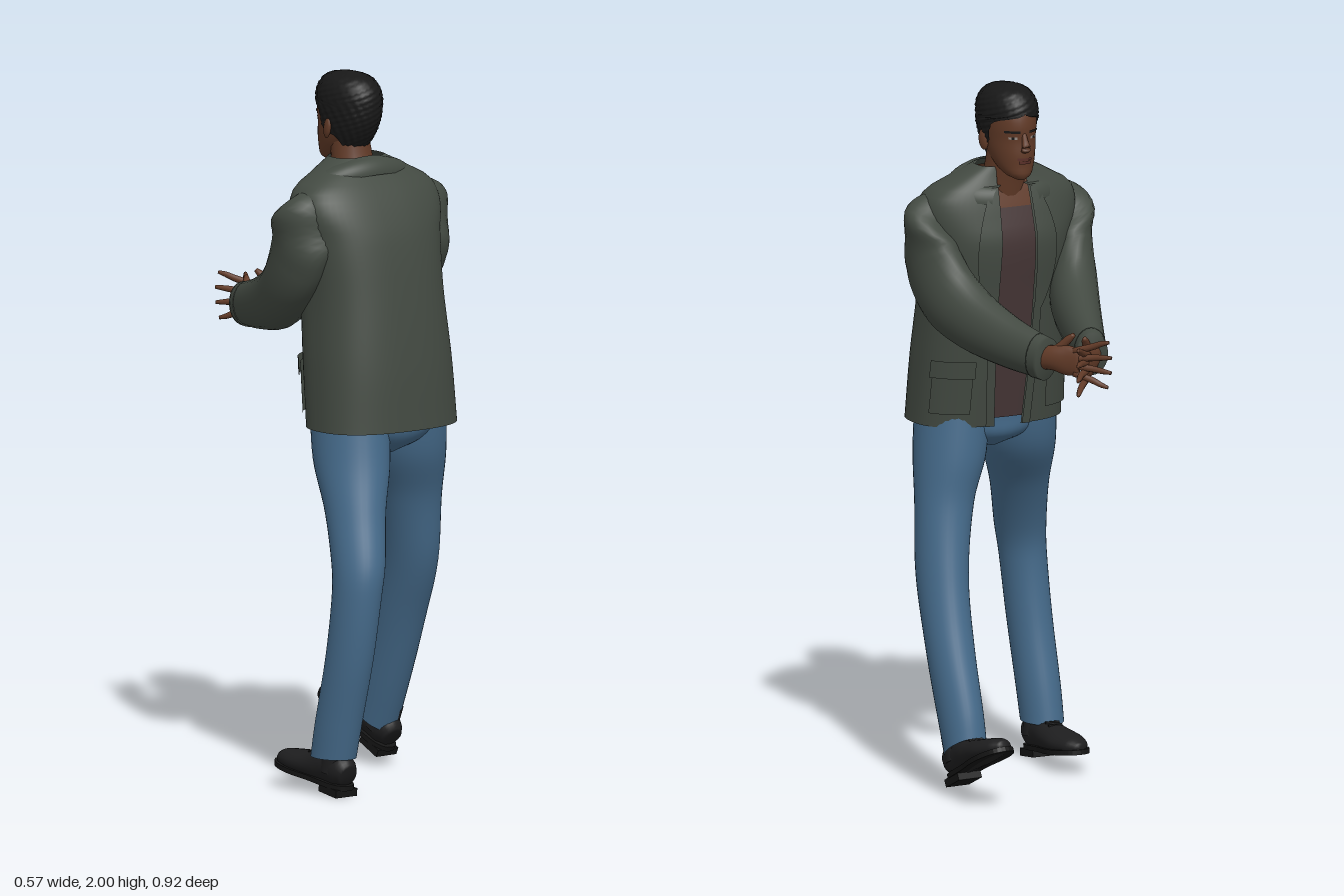
import * as THREE from 'three';
import { mergeVertices } from 'three/addons/utils/BufferGeometryUtils.js';

const mat = (name, color, side = THREE.FrontSide) => {
  const m = new THREE.MeshStandardMaterial({ color, side });
  m.name = name;
  return m;
};

// Smooth surface from f(u, v) -> Vector3 on a rows x cols grid
function grid(f, rows, cols) {
  const pos = [], idx = [];
  for (let i = 0; i <= rows; i++)
    for (let j = 0; j <= cols; j++) pos.push(...f(i / rows, j / cols).toArray());
  for (let i = 0; i < rows; i++)
    for (let j = 0; j < cols; j++) {
      const a = i * (cols + 1) + j, b = a + cols + 1;
      idx.push(a, b, a + 1, b, b + 1, a + 1);
    }
  let g = new THREE.BufferGeometry();
  g.setAttribute('position', new THREE.Float32BufferAttribute(pos, 3));
  g.setIndex(idx);
  g = mergeVertices(g, 1e-5);
  g.computeVertexNormals();
  return g;
}

// Smooth interpolation of rows whose first entry is the key
function sample(rings, y) {
  let i = 0;
  while (i < rings.length - 2 && y > rings[i + 1][0]) i++;
  const A = rings[i], B = rings[i + 1], h = B[0] - A[0], t = (y - A[0]) / h;
  const P = rings[i - 1] || A, N = rings[i + 2] || B;
  return A.map((a, k) => {
    const m0 = (B[k] - P[k]) / (B[0] - P[0]) * h, m1 = (N[k] - a) / (N[0] - A[0]) * h;
    const t2 = t * t, t3 = t2 * t;
    return (2 * t3 - 3 * t2 + 1) * a + (t3 - 2 * t2 + t) * m0 + (3 * t2 - 2 * t3) * B[k] + (t3 - t2) * m1;
  });
}

// Patch of a body of horizontal sections [y, centreX, halfWidth, zFront, zBack];
// the angle runs from the chest (-z) towards +x
function patch(rings, y0, y1, th0, th1, { off = 0, p = 1, rows = 24, cols = 36, warp } = {}) {
  const val = (q, ...a) => (typeof q === 'function' ? q(...a) : q);
  return grid((u, v) => {
    const y = y0 + (y1 - y0) * u, [, cx, a, zf, zb] = sample(rings, y);
    const t0 = val(th0, y), th = t0 + (val(th1, y) - t0) * v, o = val(off, y, th);
    const s = Math.sin(th), c = Math.cos(th), pw = (w) => Math.sign(w) * Math.abs(w) ** p;
    const P = new THREE.Vector3(cx + (a + o) * pw(s), y, (zf + zb) / 2 - ((zb - zf) / 2 + o) * pw(c));
    if (warp) warp(P, (zf + zb) / 2);
    return P;
  }, rows, cols);
}

// Capped sweep through points [x, y, z, sideRadius, upRadius]
function sweep(pts, rows = 24, cols = 18) {
  const curve = new THREE.CatmullRomCurve3(pts.map((q) => new THREE.Vector3(q[0], q[1], q[2])));
  const keyed = pts.map((q, i) => [i / (pts.length - 1), q[3], q[4]]);
  const up = new THREE.Vector3(0, 1, 0);
  return grid((u, v) => {
    const t = THREE.MathUtils.clamp((u * (rows + 2) - 1) / rows, 0, 1);
    const T = curve.getTangent(t), S = T.clone().cross(up).normalize(), U = S.clone().cross(T);
    const [, rs, ru] = sample(keyed, t), k = u === 0 || u === 1 ? 0 : 1, f = v * Math.PI * 2;
    return curve.getPoint(t).addScaledVector(S, k * rs * Math.cos(f)).addScaledVector(U, k * ru * Math.sin(f));
  }, rows + 2, cols);
}

export function createModel() {
  const D = THREE.DoubleSide, TAU = Math.PI * 2;
  const jacket = mat('jacket cloth', 0x434a42, D), jeans = mat('denim', 0x456a8a, D);
  const skin = mat('skin', 0x613a27, D), hairMat = mat('hair', 0x181818, D);
  const shoeMat = mat('shoe leather', 0x1e1e1f), soleMat = mat('shoe sole', 0x151515);
  const shirtMat = mat('shirt', 0x463636, D), lipMat = mat('lips', 0x5a3029, D), eyeMat = mat('eye', 0x9a8f88, D);
  const model = new THREE.Group();
  const add = (name, geo, m, parent = model) => {
    const mesh = new THREE.Mesh(geo, m);
    mesh.name = name;
    parent.add(mesh);
    return mesh;
  };

  // Torso and open jacket
  const torso = [
    [1.02, 0, 0.222, 0.085, 0.39], [1.2, 0, 0.214, 0.058, 0.378], [1.4, 0, 0.203, 0.03, 0.352],
    [1.55, 0, 0.215, 0.012, 0.322], [1.63, 0, 0.232, 0.028, 0.29], [1.69, 0, 0.215, 0.045, 0.253],
    [1.72, 0, 0.165, 0.055, 0.225], [1.745, 0, 0.12, 0.06, 0.2], [1.765, 0, 0.08, 0.06, 0.18]];
  const P = 0.8;
  const edge = (w) => (y) => {
    const half = typeof w === 'function' ? w(y) : w;
    return Math.asin(Math.min(0.95, half / sample(torso, y)[2]) ** (1 / P));
  };
  const open = (y) => 0.042 + 0.012 * Math.sin((y - 1.02) * 4);
  const g0 = edge(open);
  add('jacketBody', patch(torso, 1.02, 1.765, g0, (y) => TAU - g0(y), { p: P, rows: 36, cols: 56 }), jacket);
  add('shirt', patch(torso, 1.04, 1.65, 0, TAU, { p: P, off: -0.014 }), shirtMat);
  add('upperChest', patch(torso, 1.645, 1.75, 0, TAU, { p: P, off: -0.016 }), skin);
  for (const s of [1, -1]) {
    const side = s > 0 ? 'left' : 'right';
    const strip = (a, b) => (s > 0 ? [a, b] : [(y) => -b(y), (y) => -a(y)]);
    const lapel = edge((y) => open(y) + 0.065 * Math.max(0, Math.sin((y - 1.33) / 0.4 * Math.PI)) ** 0.7);
    add(side + 'Lapel', patch(torso, 1.33, 1.71, ...strip(g0, lapel), { p: P, off: 0.009, cols: 6 }), jacket);
    add(side + 'Placket', patch(torso, 1.02, 1.36, ...strip(g0, edge((y) => open(y) + 0.025)),
      { p: P, off: 0.006, cols: 4 }), jacket);
    const from = () => 0.45, to = () => 1.15;
    add(side + 'Pocket', patch(torso, 1.06, 1.2, ...strip(from, to), { p: P, off: 0.007, cols: 10 }), jacket);
    add(side + 'PocketFlap', patch(torso, 1.165, 1.215, ...strip(() => 0.42, () => 1.18),
      { p: P, off: 0.013, rows: 4, cols: 10 }), jacket);
  }
  // Folded collar
  add('collar', grid((u, v) => {
    const th = 0.45 + (TAU - 0.9) * v, k = Math.sqrt(1 - u * u), c = Math.cos(th);
    const a = 0.08 + 0.088 * k, b = 0.068 + 0.036 * k;
    return new THREE.Vector3(a * Math.sin(th), 1.722 + 0.048 * u - 0.03 * (1 + c), 0.115 + 0.01 * k - b * c);
  }, 8, 40), jacket);

  // Sleeves and hands, mirrored, with fingers interleaved
  for (const s of [1, -1]) {
    const arm = new THREE.Group();
    arm.name = s > 0 ? 'leftArm' : 'rightArm';
    model.add(arm);
    const dy = s * 0.007;
    const limb = (name, pts, m, r, c) =>
      add(name, sweep(pts.map(([x, y, z, a, b]) => [s * x, y, z, a, b ?? a]), r, c), m, arm);
    limb('sleeve', [[0.16, 1.655, 0.165, 0.05, 0.06], [0.2, 1.59, 0.16, 0.07, 0.1], [0.207, 1.5, 0.13, 0.067, 0.108],
      [0.195, 1.42, 0.07, 0.068, 0.103], [0.165, 1.365, -0.01, 0.068, 0.093], [0.12, 1.32, -0.15, 0.056, 0.075],
      [0.073, 1.293, -0.295, 0.042, 0.06]], jacket, 36, 24);
    limb('cuff', [[0.083, 1.297, -0.265, 0.046, 0.065], [0.071, 1.292, -0.302, 0.044, 0.062]], jacket, 4, 24);
    limb('palm', [[0.078, 1.293, -0.28, 0.03, 0.032], [0.058, 1.292 + dy, -0.32, 0.024, 0.036],
      [0.032, 1.289 + dy, -0.355, 0.017, 0.043], [0.012, 1.287 + dy, -0.385, 0.01, 0.037]], skin, 12);
    for (let i = 0; i < 4; i++) {
      const k = 1.5 - i, y = 1.286 + dy + k * 0.021, reach = [0.95, 1.04, 1.03, 0.92][i];
      limb('finger', [[0.022, y, -0.372, 0.01], [-0.018 * reach, y + k * 0.011, -0.41, 0.0095],
        [-0.036 * reach, y + k * 0.018, -0.37 - 0.064 * reach, 0.008],
        [-0.05 * reach, y + k * 0.022, -0.37 - 0.084 * reach, 0.005]], skin, 10, 8);
    }
    limb('thumb', [[0.056, 1.305 + dy, -0.315, 0.016], [0.038, 1.33 + dy, -0.335, 0.013],
      [0.025, 1.35 + dy, -0.35, 0.011], [0.017, 1.362 + dy, -0.362, 0.006]], skin, 10, 10);
  }

  // Jeans
  add('hips', patch([[0.945, 0, 0.03, 0.17, 0.28], [0.98, 0, 0.13, 0.115, 0.335], [1.03, 0, 0.195, 0.105, 0.355],
    [1.15, 0, 0.185, 0.1, 0.34]], 0.945, 1.15, 0, TAU), jeans);
  const lift = (P, zc) => { P.y -= (P.z - zc) * 0.65 * (1 - THREE.MathUtils.smoothstep(P.y, 0.14, 0.5)); };
  add('forwardLeg', patch([[0.14, 0.192, 0.058, -0.1, 0.025], [0.2, 0.192, 0.06, -0.085, 0.05],
    [0.4, 0.19, 0.065, -0.02, 0.14], [0.6, 0.178, 0.07, 0.045, 0.225], [0.8, 0.15, 0.082, 0.088, 0.268],
    [0.93, 0.122, 0.1, 0.088, 0.315], [1.08, 0.105, 0.1, 0.1, 0.34]], 0.14, 1.08, 0, TAU, { rows: 40, warp: lift }), jeans);
  add('rearLeg', patch([[0.11, -0.217, 0.058, 0.228, 0.375], [0.2, -0.215, 0.06, 0.245, 0.395],
    [0.4, -0.208, 0.062, 0.288, 0.44], [0.58, -0.197, 0.065, 0.305, 0.461], [0.66, -0.185, 0.07, 0.29, 0.458],
    [0.8, -0.155, 0.08, 0.225, 0.415], [0.93, -0.122, 0.1, 0.14, 0.38], [1.08, -0.105, 0.1, 0.1, 0.35]],
  0.11, 1.08, 0, TAU, { rows: 40 }), jeans);

  // Shoes, heel at the origin and toe towards -z
  const outline = new THREE.Shape();
  outline.moveTo(0, -0.005);
  outline.bezierCurveTo(0.055, -0.005, 0.036, 0.09, 0.048, 0.15);
  outline.bezierCurveTo(0.068, 0.23, 0.05, 0.312, 0, 0.312);
  outline.bezierCurveTo(-0.05, 0.312, -0.068, 0.23, -0.048, 0.15);
  outline.bezierCurveTo(-0.036, 0.09, -0.055, -0.005, 0, -0.005);
  const shoe = (name, x, y, z, pitch, yaw) => {
    const g = new THREE.Group();
    g.name = name;
    add('upper', sweep([[0, 0.06, -0.003, 0.028, 0.03], [0, 0.068, -0.03, 0.042, 0.048], [0, 0.068, -0.09, 0.043, 0.05],
      [0, 0.056, -0.15, 0.049, 0.04], [0, 0.048, -0.22, 0.054, 0.032], [0, 0.042, -0.28, 0.038, 0.024],
      [0, 0.038, -0.306, 0.014, 0.012]], 24, 20), shoeMat, g);
    add('ankle', new THREE.CylinderGeometry(0.042, 0.046, 0.08, 20), shoeMat, g).position.set(0, 0.1, -0.058);
    const sole = add('sole', new THREE.ExtrudeGeometry(outline, { depth: 0.014, bevelEnabled: false, curveSegments: 12 }), soleMat, g);
    sole.rotation.x = -Math.PI / 2;
    sole.position.y = 0.02;
    add('heel', new THREE.BoxGeometry(0.074, 0.022, 0.08), soleMat, g).position.set(0, 0.011, -0.044);
    for (let i = 0; i < 4; i++)
      add('lace', new THREE.BoxGeometry(0.042, 0.006, 0.006), soleMat, g).position.set(0, 0.114 - i * 0.007, -0.11 - i * 0.017);
    g.position.set(x, y, z);
    g.rotation.set(pitch, yaw, 0, 'YXZ');
    model.add(g);
  };
  shoe('forwardShoe', 0.2, 0.024, 0, 0.45, 0.06);
  shoe('rearShoe', -0.212, 0.001, 0.357, 0.13, 0);

  // Neck and head
  add('neck', sweep([[0, 1.64, 0.135, 0.075, 0.07], [0, 1.72, 0.11, 0.062, 0.06], [0, 1.78, 0.095, 0.056, 0.058],
    [0, 1.84, 0.085, 0.054, 0.058]].map((q) => [q[0] + q[1] * 1e-4, ...q.slice(1)])), skin);
  const head = [
    [1.738, 0, 0.012, -0.012, 0.02], [1.75, 0, 0.034, -0.022, 0.06], [1.775, 0, 0.051, -0.022, 0.105],
    [1.81, 0, 0.062, -0.024, 0.15], [1.85, 0, 0.068, -0.021, 0.175], [1.89, 0, 0.071, -0.024, 0.183],
    [1.93, 0, 0.07, -0.015, 0.18], [1.965, 0, 0.055, 0.01, 0.155], [1.985, 0, 0.002, 0.075, 0.085]];
  add('head', patch(head, 1.738, 1.985, 0, TAU), skin);
  const skull = [
    [1.785, 0, 0.054, 0.0, 0.145], [1.82, 0, 0.067, -0.012, 0.172], [1.86, 0, 0.076, -0.018, 0.192],
    [1.9, 0, 0.081, -0.024, 0.2], [1.94, 0, 0.079, -0.022, 0.198], [1.97, 0, 0.066, -0.006, 0.18],
    [1.988, 0, 0.044, 0.02, 0.15], [1.999, 0, 0.002, 0.08, 0.09]];
  const line = [[1.785, 2.3], [1.82, 1.85], [1.84, 1.35], [1.88, 1.2], [1.905, 0.95], [1.925, 0.02], [2, 0.0]];
  const hairline = (y) => Math.max(0, sample(line, y)[1]);
  add('hair', patch(skull, 1.785, 1.999, hairline, (y) => TAU - hairline(y), {
    rows: 40, cols: 64, off: (y, t) => 0.0022 * Math.sin(t * 17 + y * 130) * Math.sin(y * 260 - t * 6) * (y < 1.99 ? 1 : 0),
  }), hairMat);
  // Face
  add('nose', sweep([[0, 1.872, -0.017, 0.006, 0.006], [0, 1.85, -0.026, 0.009, 0.009],
    [0, 1.831, -0.033, 0.014, 0.01], [0, 1.822, -0.024, 0.012, 0.006]].map((q, i) => [i * 1e-5, ...q.slice(1)]), 12, 12), skin);
  const face = (name, y0, y1, a, b, m, off) => add(name, patch(head, y0, y1, a, b, { rows: 4, cols: 8, off }), m);
  face('upperLip', 1.796, 1.803, -0.36, 0.36, lipMat, 0.003);
  face('lowerLip', 1.786, 1.795, -0.3, 0.3, lipMat, 0.004);
  for (const s of [1, -1]) {
    const pair = (a, b) => (s > 0 ? [a, b] : [-b, -a]);
    face('eye', 1.856, 1.863, ...pair(0.3, 0.62), eyeMat, 0.0015);
    face('iris', 1.856, 1.863, ...pair(0.41, 0.52), hairMat, 0.0025);
    face('eyebrow', 1.874, 1.881, ...pair(0.2, 0.78), hairMat, 0.003);
    const ear = add('ear', new THREE.SphereGeometry(1, 14, 10), skin);
    ear.scale.set(0.009, 0.03, 0.018);
    ear.position.set(s * 0.074, 1.843, 0.085);
    ear.rotation.set(0.2, s * 0.3, 0);
  }
  return model;
}
